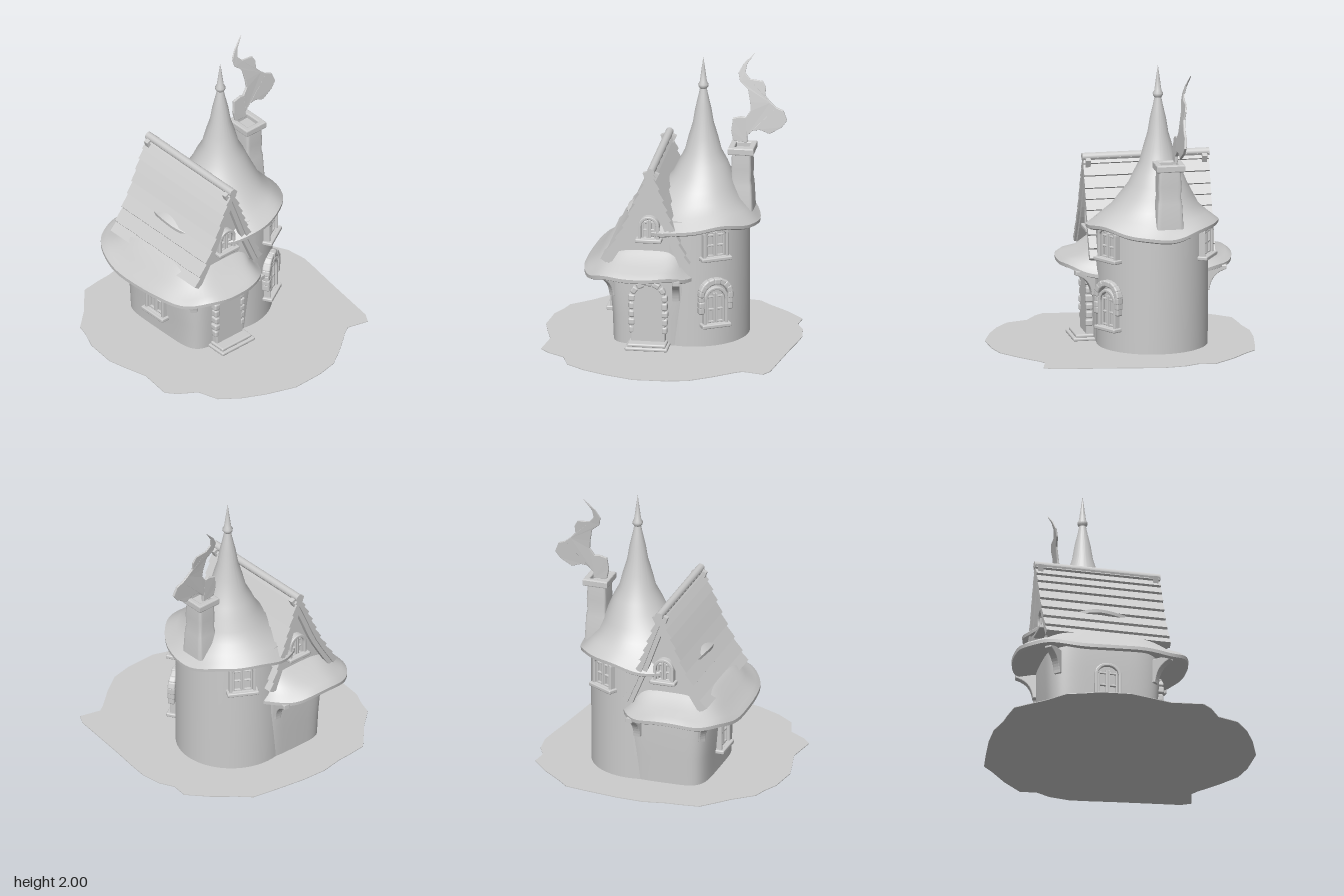
import * as THREE from 'three';
import { toCreasedNormals } from 'three/addons/utils/BufferGeometryUtils.js';
import { RoundedBoxGeometry } from 'three/addons/geometries/RoundedBoxGeometry.js';

const clay = new THREE.MeshStandardMaterial({ color: 0xcccccc });
clay.name = 'clay grey';
const MID_Z = -0.2; // house is mirrored front to back about this plane

let seed = 7;
const rand = () => (seed = (seed * 16807) % 2147483647) / 2147483647;

function add(parent, name, geometry, x = 0, y = 0, z = 0) {
  const mesh = new THREE.Mesh(geometry, clay);
  mesh.name = name;
  mesh.position.set(x, y, z);
  parent.add(mesh);
  return mesh;
}

const toShape = pts => new THREE.Shape(pts.map(p => new THREE.Vector2(p[0], p[1])));
const extrude = (shape, depth, bevel = 0) => new THREE.ExtrudeGeometry(shape, {
  depth, curveSegments: 10, bevelEnabled: bevel > 0, bevelSize: bevel, bevelThickness: bevel, bevelSegments: 2, bevelOffset: -bevel });
const box = (w, h, d, r = 0.008) => new RoundedBoxGeometry(w, h, d, 2, Math.min(r, w / 2.1, h / 2.1, d / 2.1));

// Joins superellipse rings { cx, cz, rx, rz, y, n, wave(t) } into one skin
function loft(rings, seg = 72, crease = 0.7) {
  const pos = [], idx = [];
  const sp = (v, n) => Math.sign(v) * Math.pow(Math.abs(v), 2 / n);
  for (const { cx, cz, rx, rz = rx, y, n = 2, wave = () => 0 } of rings)
    for (let j = 0; j < seg; j++) {
      const t = j / seg * Math.PI * 2;
      pos.push(cx + rx * sp(Math.cos(t), n), y + wave(t), cz + rz * sp(Math.sin(t), n));
    }
  for (let i = 0; i < rings.length - 1; i++)
    for (let j = 0; j < seg; j++) {
      const k = (j + 1) % seg, a = i * seg + j, b = i * seg + k;
      idx.push(a, a + seg, b, b, a + seg, b + seg);
    }
  const g = new THREE.BufferGeometry();
  g.setAttribute('position', new THREE.Float32BufferAttribute(pos, 3));
  g.setIndex(idx);
  return toCreasedNormals(g, crease);
}

// Round-topped outline, standing on y = base
function arch(w, h, rise, base = 0, Type = THREE.Shape) {
  const s = new Type();
  s.moveTo(w / 2, base);
  s.lineTo(w / 2, h - rise);
  s.absellipse(0, h - rise, w / 2, rise, 0, Math.PI, false);
  s.lineTo(-w / 2, base);
  s.closePath();
  return s;
}

function archFrame(w, h, rise, t, depth, base = 0) {
  const s = arch(w, h, rise);
  s.holes.push(arch(w - 2 * t, h - t, rise - t * 0.5, base, THREE.Path));
  return extrude(s, depth, 0.006);
}

// Uneven stones set along an arch
function stones(parent, w, h, rise, from, size, z) {
  const pts = arch(w, h, rise, from).getSpacedPoints(40).filter(p => p.y > from + 0.01);
  for (let i = 1; i < pts.length; i += 2) {
    const m = add(parent, 'surroundStone', box(size * (0.8 + 0.3 * rand()), size * (1 + 0.3 * rand()), 0.045 + 0.015 * rand(), 0.012), pts[i].x, pts[i].y, z);
    m.rotation.z = pts[i].y > h - rise ? Math.atan2(pts[i].y - h + rise, pts[i].x) : 0;
  }
}

// Casement window facing +z, with sill, glazing bars and pane
function makeWindow(name, w, h, rise) {
  const g = new THREE.Group();
  g.name = name;
  add(g, 'windowFrame', archFrame(w, h, rise, 0.022, 0.045, 0.02));
  add(g, 'windowPane', extrude(arch(w - 0.03, h - 0.015, rise), 0.018));
  for (const s of [-1, 1]) {
    const lw = w / 2 - 0.026;
    const leaf = new THREE.Group();
    leaf.name = 'casement';
    for (const e of [-1, 1]) add(leaf, 'stile', box(0.014, h * 0.78, 0.02, 0.004), e * (lw / 2 - 0.007), h * 0.44, 0);
    for (const y of [0.1, 0.42, 0.74]) add(leaf, 'glazingBar', box(lw, 0.014, 0.018, 0.004), 0, h * y, 0);
    leaf.position.set(s * (lw / 2 + 0.002), 0, 0.026);
    g.add(leaf);
  }
  add(g, 'windowSill', box(w + 0.035, 0.028, 0.075), 0, 0.004, 0.035);
  return g;
}

function place(parent, obj, x, y, z, ry) {
  obj.position.set(x, y, z);
  obj.rotation.y = ry;
  parent.add(obj);
}

// One gable slope: offset band along a curve, with stepped shingle courses
function slopeBand(pts, side, outer, inner, courses, step) {
  const c = new THREE.SplineCurve(pts.map(p => new THREE.Vector2(...p)));
  const at = (u, off) => {
    const p = c.getPoint(u), t = c.getTangent(u);
    return [p.x - side * t.y * off, p.y + side * t.x * off];
  };
  const line = [];
  for (let i = 0; i < courses; i++) line.push(at(i / courses, outer), at((i + 0.94) / courses, outer + step));
  for (let i = courses; i >= 0; i--) line.push(at(i / courses, inner));
  return toShape(line);
}

export function createModel() {
  const model = new THREE.Group();
  model.name = 'cottage';

  // Ground patch
  const land = [[-.09, -.935], [-.25, -.905], [-.35, -.9], [-.49, -.885], [-.57, -.8], [-.66, -.7], [-.8, -.58], [-.83, -.48], [-.88, -.37],
    [-.905, -.15], [-.87, 0], [-.83, .15], [-.86, .38], [-.8, .45], [-.68, .53], [-.63, .68], [-.5, .78], [-.34, .86], [-.13, .935], [.1, .93],
    [.25, .9], [.4, .8], [.55, .68], [.6, .65], [.75, .69], [.79, .62], [.82, .4], [.855, .15], [.88, 0], [.9, -.15], [.88, -.3], [.83, -.4],
    [.845, -.52], [.72, -.66], [.58, -.78], [.5, -.86], [.33, -.89], [.1, -.925]];
  const ground = extrude(toShape(land.map(([x, z]) => [x, -z])), 0.005);
  add(model, 'ground', ground.rotateX(-Math.PI / 2));

  // House walls and gable wall
  const wall = { cx: -0.12, cz: MID_Z, n: 5 };
  add(model, 'houseWalls', loft([{ ...wall, rx: .285, rz: .385, y: 0 }, { ...wall, rx: .292, rz: .395, y: .2 }, { ...wall, rx: .31, rz: .405, y: .4 }, { ...wall, rx: .31, rz: .405, y: .6 }]));
  add(model, 'gableWalls', extrude(toShape([[-.42, .58], [.12, .58], [.02, .88], [-.11, 1.27], [-.29, .86]]), 0.74), 0, 0, MID_Z - 0.37);

  // Flared skirt roof
  const wave = t => -0.03 * Math.cos(2 * t) + 0.008 * Math.sin(7 * t);
  const skirt = { cx: -0.2, cz: MID_Z, n: 2.7 };
  add(model, 'skirtRoof', loft([
    { ...skirt, rx: .3, rz: .4, y: .54 },
    { ...skirt, rx: .4, rz: .59, y: .495, wave },
    { ...skirt, rx: .42, rz: .61, y: .505, wave },
    { ...skirt, rx: .42, rz: .612, y: .53, wave },
    { ...skirt, rx: .39, rz: .57, y: .56, wave },
    { cx: -.18, cz: MID_Z, n: 3.2, rx: .335, rz: .48, y: .6, wave: t => wave(t) * .4 },
    { cx: -.16, cz: MID_Z, n: 4, rx: .29, rz: .4, y: .67 },
    { cx: -.15, cz: MID_Z, n: 4, rx: .25, rz: .36, y: .7 }]));

  // Steep gable roof with shingle courses and barge boards
  const slopes = [[-1, [[-.11, 1.3], [-.19, 1.13], [-.3, .88], [-.45, .63]]], [1, [[-.11, 1.3], [-.03, 1.08], [.05, .86], [.15, .62]]]];
  for (const [side, pts] of slopes) {
    add(model, 'gableRoof', extrude(slopeBand(pts, side, 0, -0.03, 9, 0.016), 0.89), 0, 0, MID_Z - 0.445);
    for (const z of [MID_Z + 0.395, MID_Z - 0.43])
      add(model, 'bargeBoard', extrude(slopeBand(pts, side, -0.025, -0.062, 10, 0), 0.035), 0, 0, z);
  }
  add(model, 'roofRidge', new THREE.CylinderGeometry(.028, .028, .9, 12).rotateX(Math.PI / 2), -.11, 1.293, MID_Z);

  // Round tower
  const tower = { cx: 0.13, cz: MID_Z };
  add(model, 'towerWall', loft([{ ...tower, rx: .388, y: 0 }, { ...tower, rx: .39, y: .45 }, { ...tower, rx: .39, y: .92 }]));
  const eave = k => t => k * (-0.03 * Math.cos(3 * t) + 0.005 * Math.sin(8 * t));
  const spire = [[.375, .87, .5], [.445, .835, 1], [.462, .845, 1], [.464, .868, 1], [.43, .895, .9], [.37, .94, .5], [.305, 1, .2], [.25, 1.08, .1],
    [.205, 1.16, 0], [.165, 1.24, 0], [.128, 1.32, 0], [.098, 1.42, 0], [.073, 1.52, 0], [.052, 1.62, 0], [.034, 1.72, 0], [.024, 1.77, 0],
    [.035, 1.785, 0], [.036, 1.8, 0], [.025, 1.82, 0], [.013, 1.91, 0], [.0005, 2, 0]];
  add(model, 'towerRoof', loft(spire.map(([r, y, k], i) => {
    const lean = Math.min(1, Math.max(0, (y - .87) / .3));
    return { cx: .13 + .06 * lean, cz: MID_Z - .03 * lean, rx: r + (i > 4 && i < 14 ? (i % 2) * .005 : 0), y, wave: eave(k) };
  }), 72, 0.6));

  // Chimney with open cap
  const stack = loft([[.088, .9], [.079, 1.08], [.072, 1.12], [.076, 1.2], [.07, 1.32]].map(([r, y]) => ({ cx: .463, cz: -.252, rx: r * .95, rz: r * 1.1, y, n: 9 })), 48);
  add(model, 'chimneyStack', stack);
  const rim = toShape([[-.09, -.1], [.09, -.1], [.09, .1], [-.09, .1]]);
  rim.holes.push(new THREE.Path([[-.05, -.06], [-.05, .06], [.05, .06], [.05, -.06]].map(p => new THREE.Vector2(...p))));
  add(model, 'chimneyCap', extrude(rim, .035, .008).rotateX(-Math.PI / 2), .463, 1.317, -.255);
  add(model, 'chimneyFloor', box(.12, .02, .14), .463, 1.315, -.255);

  // Flat curl of smoke, leaning back with height
  const puff = [[.487, 1.36], [.487, 1.41], [.53, 1.45], [.58, 1.455], [.645, 1.43], [.73, 1.48], [.767, 1.53], [.74, 1.6], [.69, 1.62], [.65, 1.655],
    [.61, 1.7], [.614, 1.755], [.59, 1.8], [.5, 1.81], [.466, 1.85], [.476, 1.91], [.53, 1.99], [.45, 1.91], [.418, 1.85], [.43, 1.79],
    [.487, 1.74], [.505, 1.65], [.51, 1.59], [.476, 1.54], [.444, 1.545], [.386, 1.53], [.375, 1.44], [.39, 1.37]];
  const smoke = extrude(toShape(puff), 0.014, 0.004);
  const sp = smoke.attributes.position;
  for (let i = 0; i < sp.count; i++) {
    const h = sp.getY(i) - 1.36;
    sp.setZ(i, sp.getZ(i) * (1 - h) - .31 - .03 * h - .18 * h * h);
  }
  smoke.computeVertexNormals();
  add(model, 'smoke', smoke);

  // Tower windows
  const a = Math.PI / 6, r = 0.372;
  const onTower = (obj, y, ang) => place(model, obj, .13 + Math.sin(ang) * r, y, MID_Z + Math.cos(ang) * r, ang);
  onTower(makeWindow('towerUpperWindow', .19, .235, .05), .65, a);
  onTower(makeWindow('towerBackWindow', .19, .235, .05), .65, Math.PI - a);
  const lower = makeWindow('towerLowerWindow', .18, .285, .09);
  stones(lower, .215, .325, .1, .1, .045, .03);
  onTower(lower, .16, a);

  // Gable windows and side window
  place(model, makeWindow('gableWindow', .15, .18, .075), -.13, .775, MID_Z + .365, 0);
  place(model, makeWindow('backGableWindow', .15, .18, .075), -.13, .775, MID_Z - .365, Math.PI);
  place(model, makeWindow('sideWindow', .19, .28, .08), -.4, .16, MID_Z, -Math.PI / 2);

  // Front door with stone arch, planks, shield plate and step
  const door = new THREE.Group();
  door.name = 'door';
  add(door, 'doorFrame', archFrame(.24, .44, .11, .035, .045));
  add(door, 'doorLeaf', extrude(arch(.18, .41, .09), .015));
  for (let i = -2; i <= 2; i++) add(door, 'doorPlank', box(.032, .385 - .012 * i * i, .02, .005), i * .035, .19 - .006 * i * i, .014);
  stones(door, .232, .43, .115, 0.03, .045, .03);
  add(door, 'shieldPlate', extrude(toShape([[0, -.055], [.032, -.025], [.043, .025], [.02, .05], [-.02, .05], [-.043, .025], [-.032, -.025]]), .014, .004), 0, .23, .024);
  add(door, 'doorKnob', new THREE.SphereGeometry(.012, 12, 8), .055, .18, .03);
  place(model, door, -.13, .04, .188, 0);
  add(model, 'lowerStep', box(.3, .025, .16, .01), -.13, .0145, .255);
  add(model, 'upperStep', box(.27, .025, .13, .01), -.13, .036, .25);

  // Curved brackets under the skirt roof
  const profile = new THREE.Shape();
  profile.moveTo(-.03, 0);
  profile.lineTo(.02, 0);
  profile.quadraticCurveTo(.03, .12, .14, .15);
  profile.lineTo(.14, .18);
  profile.lineTo(-.03, .18);
  const bracket = extrude(profile, .04, .006).translate(0, 0, -.02);
  for (const s of [1, -1])
    for (const [x, z, ang] of [[-.385, .345, Math.PI * .75], [.06, .4, Math.PI * .45]])
      add(model, 'roofBracket', bracket, x, .345, MID_Z + s * z).rotation.y = -s * ang;

  return model;
}
